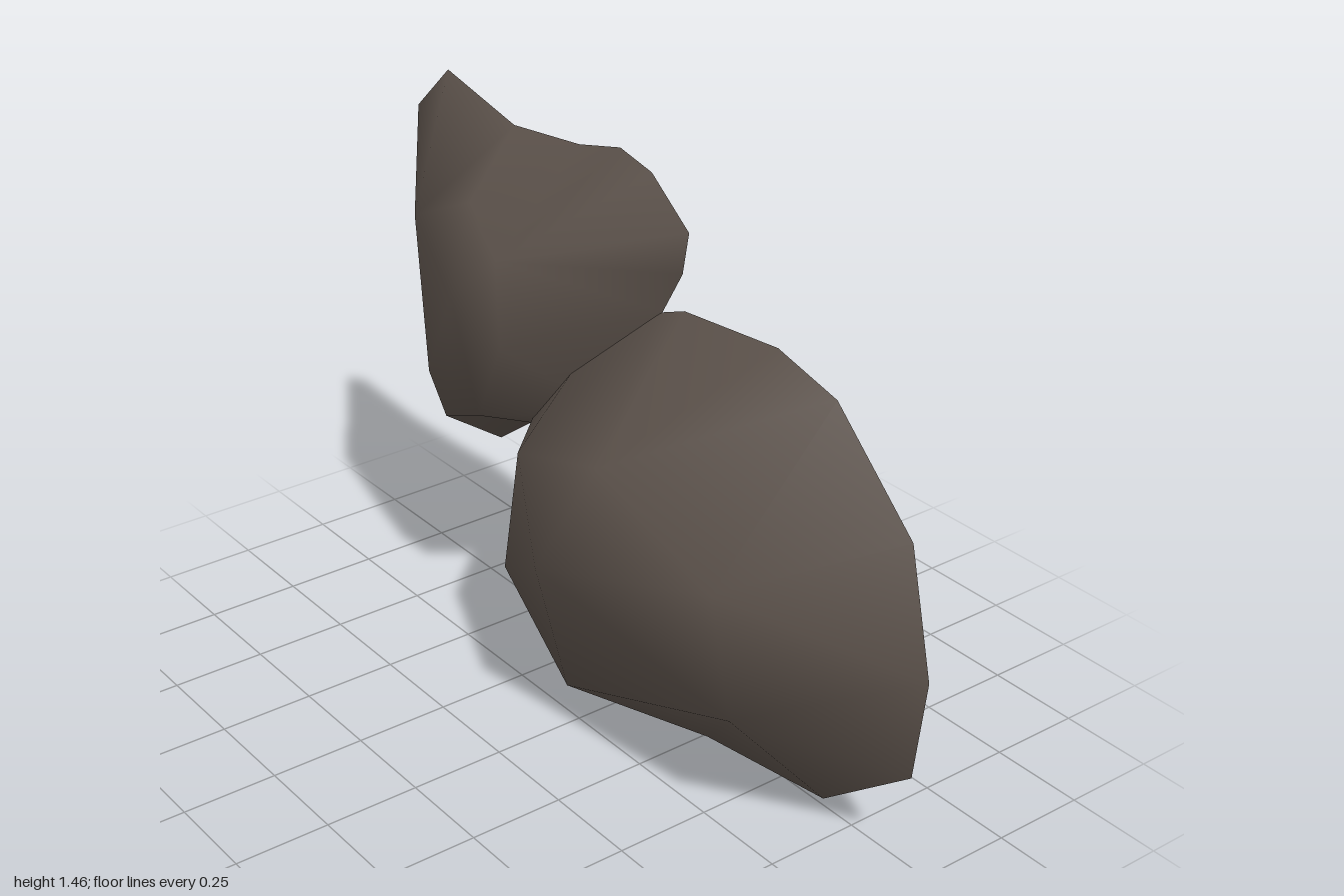
import * as THREE from 'three';

const BACK = -0.21;

// Open-backed boulder: a flat rim stitched to a raised ring, closed by a fan to its peak.
// Both loops run counter-clockwise seen from the front and start at neighbouring points.
function shell(name, rim, ring, peak, material) {
  const outer = rim.map(([x, y]) => [x, y, BACK]);
  const n = outer.length, m = ring.length;
  const points = [...outer, ...ring, peak];
  const faces = [];
  const gap = (a, b) => Math.hypot(a[0] - b[0], a[1] - b[1]);

  // Walk both loops together, always taking the shorter diagonal
  let i = 0, j = 0;
  while (i < n || j < m) {
    const a = i % n, a2 = (i + 1) % n, b = j % m, b2 = (j + 1) % m;
    const alongRim = j >= m || (i < n && gap(outer[a2], ring[b]) <= gap(outer[a], ring[b2]));
    if (alongRim) {
      faces.push(a, a2, n + b);
      i++;
    } else {
      faces.push(a, n + b2, n + b);
      j++;
    }
  }
  // Crown
  for (let k = 0; k < m; k++) faces.push(n + k, n + (k + 1) % m, n + m);

  const geometry = new THREE.BufferGeometry();
  geometry.setAttribute('position', new THREE.Float32BufferAttribute(points.flat(), 3));
  geometry.setIndex(faces);
  geometry.computeVertexNormals();
  const mesh = new THREE.Mesh(geometry, material);
  mesh.name = name;
  return mesh;
}

export function createModel() {
  const stone = new THREE.MeshStandardMaterial({ color: 0x5c524b, side: THREE.DoubleSide });
  stone.name = 'dark brown stone';

  const group = new THREE.Group();
  group.name = 'boulders';

  // Large rounded boulder
  group.add(shell('largeBoulder',
    [[0.97, 0.28], [1, 0.55], [0.92, 0.87], [0.66, 1.11], [0.46, 1.16], [0.13, 1.13], [0.03, 1.09],
      [-0.18, 0.98], [-0.43, 0.7], [-0.45, 0.33], [-0.2, 0.12], [0.26, 0], [0.69, 0.06]],
    [[0.66, 0.38, 0.07], [0.64, 0.72, 0.12], [0.3, 0.91, 0.175], [-0.1, 0.76, 0.11],
      [-0.22, 0.37, 0.07], [0.03, 0.14, 0.06]],
    [0.12, 0.58, 0.22], stone));

  // Smaller three-lobed boulder with a notch in its top edge
  group.add(shell('smallBoulder',
    [[0.14, 1.33], [0, 1.435], [-0.12, 1.46], [-0.28, 1.42], [-0.55, 1.39], [-0.84, 1.455], [-0.985, 1.32],
      [-1, 1.11], [-0.875, 0.94], [-0.83, 0.69], [-0.82, 0.52], [-0.63, 0.48], [-0.44, 0.62],
      [-0.25, 0.66], [-0.135, 0.75], [0.05, 1.1], [0.12, 1.22]],
    [[-0.24, 1.2, 0.07], [-0.42, 1.28, 0.015], [-0.6, 1.2, 0.06], [-0.62, 0.75, 0.02],
      [-0.53, 0.66, 0.03], [-0.35, 0.74, 0.05], [-0.22, 0.98, 0.075]],
    [-0.42, 1.05, 0.08], stone));

  return group;
}
